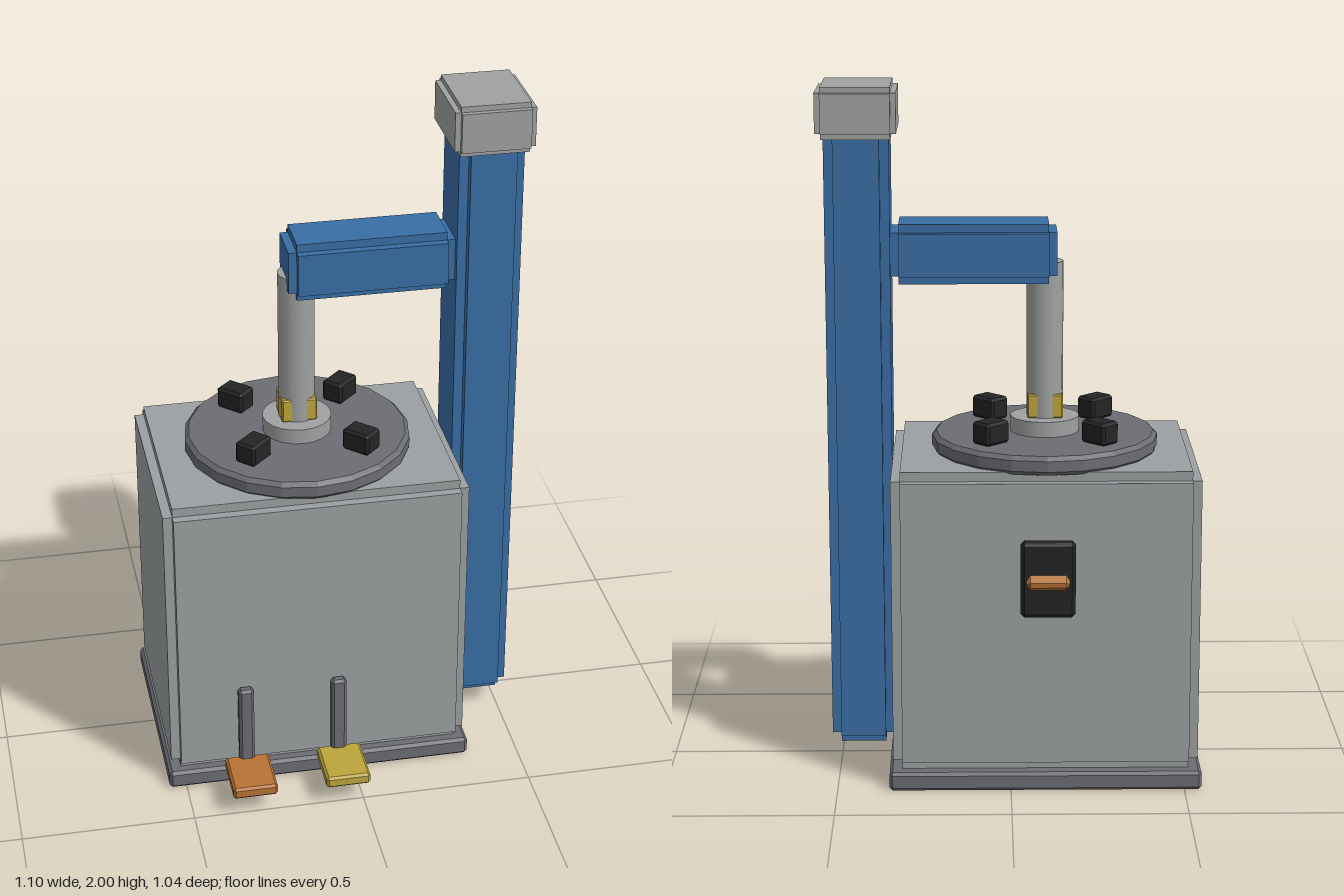
import * as THREE from 'three';
import { mergeGeometries } from 'three/addons/utils/BufferGeometryUtils.js';
import { ConvexGeometry } from 'three/addons/geometries/ConvexGeometry.js';

const paint = (name, color) => {
  const m = new THREE.MeshStandardMaterial({ color });
  m.name = name;
  return m;
};

// Box with all edges cut at 45 degrees
function chamferBox(w, h, d, c) {
  const points = [];
  for (const x of [-1, 1]) for (const y of [-1, 1]) for (const z of [-1, 1]) {
    for (let axis = 0; axis < 3; axis++) {
      const cut = [c, c, c];
      cut[axis] = 0;
      points.push(new THREE.Vector3(x * (w / 2 - cut[0]), y * (h / 2 - cut[1]), z * (d / 2 - cut[2])));
    }
  }
  return new ConvexGeometry(points);
}

// Box with square rebates along all edges: three crossing slabs
function steppedBox(w, h, d, s) {
  return mergeGeometries([
    new THREE.BoxGeometry(w, h - 2 * s, d - 2 * s),
    new THREE.BoxGeometry(w - 2 * s, h, d - 2 * s),
    new THREE.BoxGeometry(w - 2 * s, h - 2 * s, d),
  ]);
}

export function createModel() {
  const model = new THREE.Group();
  const bodyGrey = paint('body grey', 0x9ca0a2);
  const steel = paint('light steel', 0xa0a2a2);
  const darkGrey = paint('dark grey', 0x6c6d73);
  const blue = paint('blue', 0x3a6ea5);
  const black = paint('black', 0x242424);
  const copper = paint('copper', 0xb87333);
  const brass = paint('brass', 0xbda53c);

  const add = (name, geometry, material, x, y, z) => {
    const mesh = new THREE.Mesh(geometry, material);
    mesh.name = name;
    mesh.position.set(x, y, z);
    model.add(mesh);
    return mesh;
  };
  const midZ = 0.0125;
  const axisX = -0.102;

  // Base and cabinet
  add('basePlate', chamferBox(0.9, 0.055, 0.676, 0.009), darkGrey, -0.1, 0.0275, midZ);
  add('cabinet', steppedBox(0.88, 0.885, 0.656, 0.027), bodyGrey, -0.1, 0.4975, 0.0165);

  // Column, cap and cantilever arm
  add('column', steppedBox(0.185, 1.83, 0.23, 0.027), blue, 0.4325, 0.975, 0.0145);
  add('columnCap', steppedBox(0.228, 0.146, 0.274, 0.016), steel, 0.4325, 1.927, midZ);
  add('arm', steppedBox(0.475, 0.172, 0.186, 0.0235), blue, 0.1025, 1.52, midZ);

  // Round lid with chamfered rim
  const lidProfile = [[0, -0.0275], [0.316, -0.0275], [0.328, -0.0155], [0.328, 0.0155], [0.316, 0.0275], [0, 0.0275]]
    .map(([r, y]) => new THREE.Vector2(r, y));
  const lid = new THREE.LatheGeometry(lidProfile, 20).toNonIndexed();
  lid.computeVertexNormals();
  add('lid', lid, darkGrey, axisX, 0.9625, midZ);

  // Lid clamps, long side pointing outwards
  for (const sx of [-1, 1]) for (const sz of [-1, 1]) {
    const clamp = add('lidClamp', chamferBox(0.09, 0.066, 0.068, 0.008), black,
      -0.1 + sx * 0.156, 1.022, midZ + sz * 0.156);
    clamp.rotation.y = -sx * sz * Math.PI / 4;
  }

  // Plunger: collar, square nut and rod
  add('collar', new THREE.CylinderGeometry(0.1, 0.1, 0.045, 20), steel, axisX, 1.0125, midZ);
  add('nut', chamferBox(0.103, 0.07, 0.096, 0.004), brass, axisX, 1.07, midZ);
  add('rod', new THREE.CylinderGeometry(0.053, 0.053, 0.465, 16), steel, axisX, 1.2575, midZ);

  // Foot pedals with upright levers
  for (const [x, material] of [[-0.321, copper], [-0.047, brass]]) {
    add('pedal', chamferBox(0.13, 0.036, 0.162, 0.007), material, x, 0.078, 0.436);
    add('pedalLever', chamferBox(0.045, 0.275, 0.032, 0.008), darkGrey, x, 0.1975, 0.359);
  }

  // Slanted rear spout and its black grip
  const spout = add('rearSpout', chamferBox(0.12, 0.064, 0.245, 0.01), copper, -0.1, 0.628, -0.408);
  spout.rotation.x = THREE.MathUtils.degToRad(38);
  add('rearGrip', chamferBox(0.152, 0.215, 0.043, 0.01), black, -0.1, 0.688, -0.482);

  return model;
}
